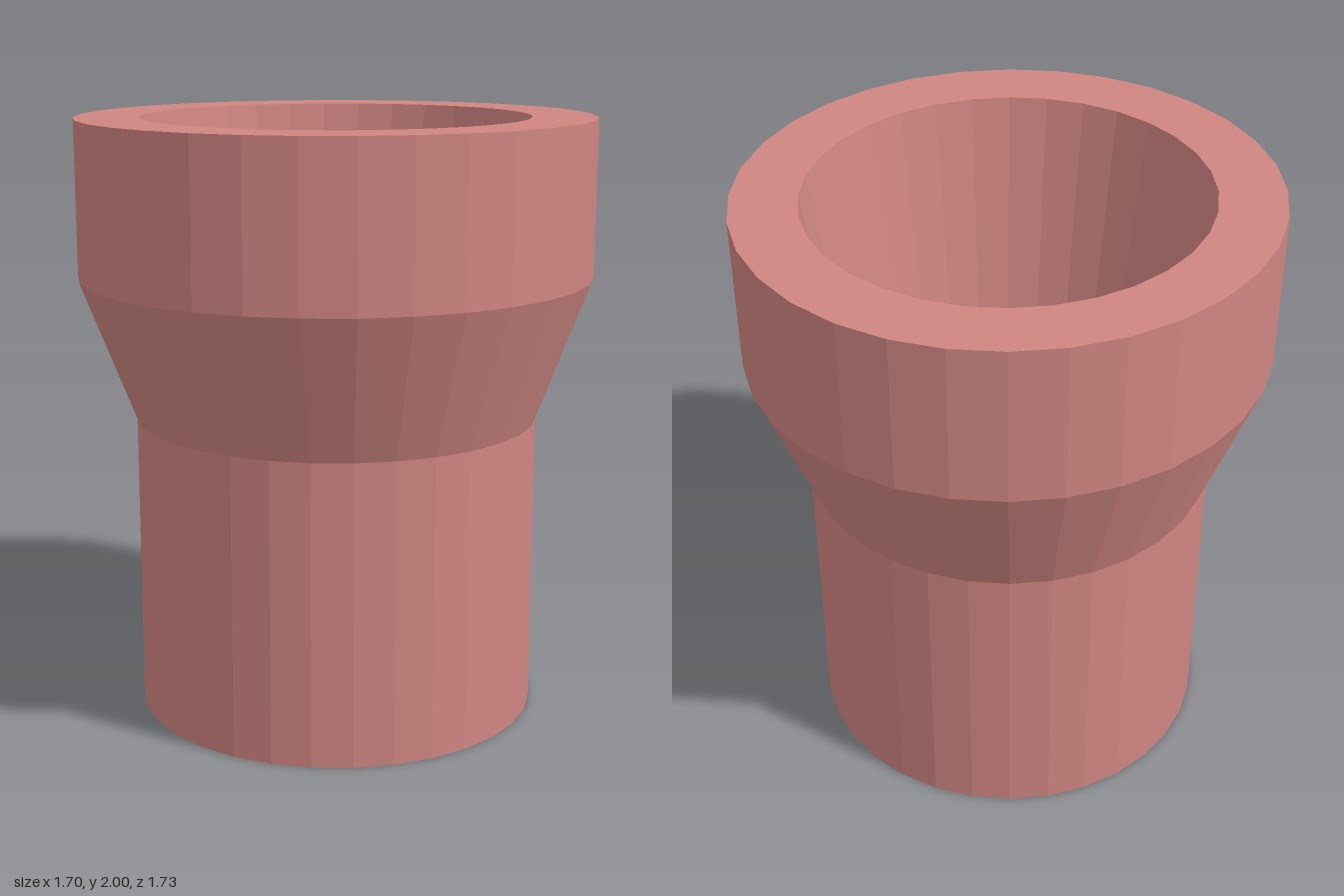
import * as THREE from 'three';

export function createModel() {
  const group = new THREE.Group();
  const material = new THREE.MeshStandardMaterial({ color: 0xd08682, flatShading: true });

  // Closed profile: base, stem, flare, collar, rim, tapered bore and its floor
  const profile = [
    [0, 0], [0.675, 0], [0.675, 1], [0.865, 1.48], [0.865, 2],
    [0.65, 2], [0.506, 1], [0, 1],
  ].map(([r, y]) => new THREE.Vector2(r, y));
  const geometry = new THREE.LatheGeometry(profile, 32);

  // The collar is slightly narrower from side to side
  const pos = geometry.attributes.position;
  for (let i = 0; i < pos.count; i++) {
    if (pos.getY(i) > 1.1) pos.setX(i, pos.getX(i) * 0.982);
  }
  geometry.computeVertexNormals();

  const body = new THREE.Mesh(geometry, material);
  body.name = 'flaredCup';
  group.add(body);
  return group;
}
